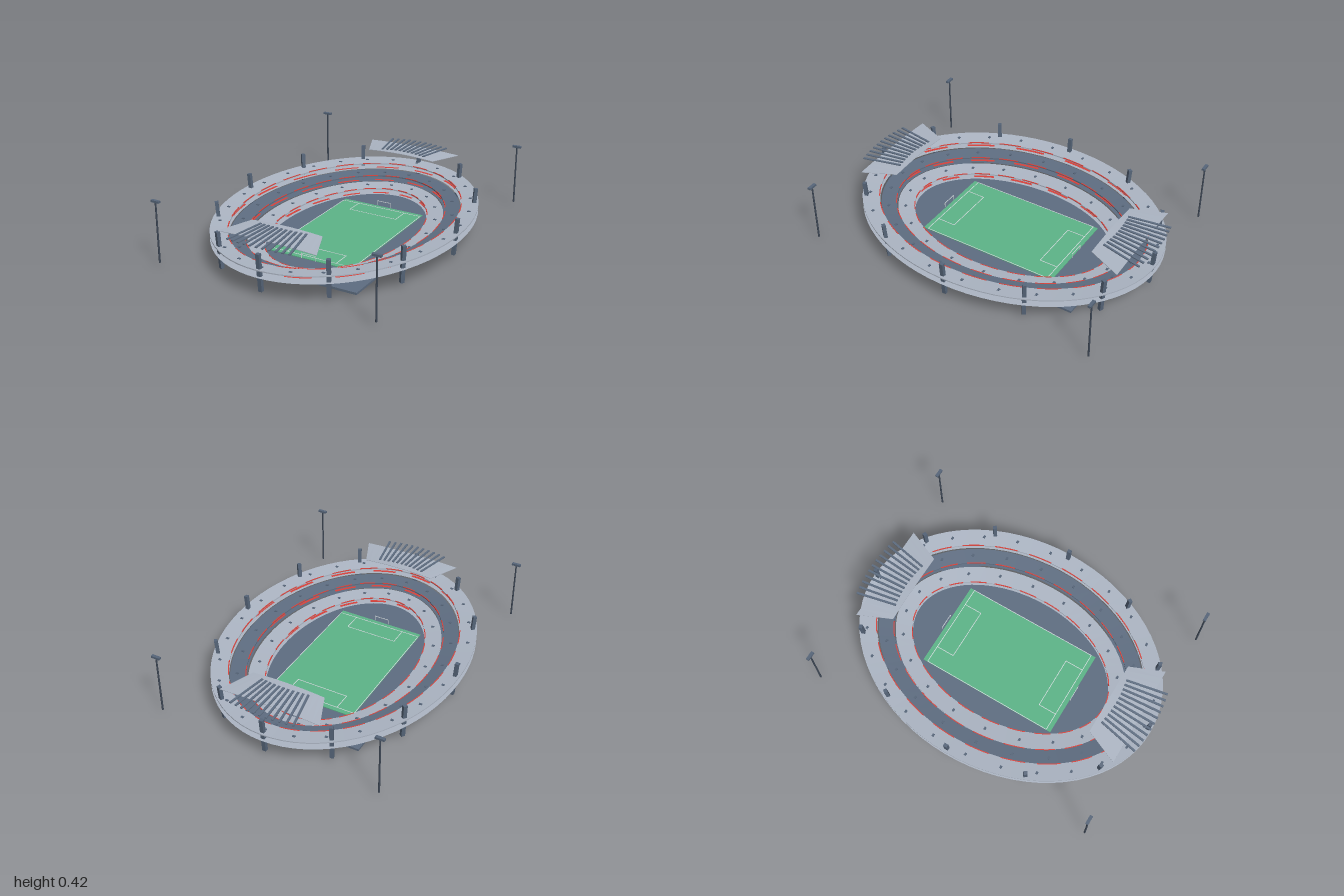
import * as THREE from 'three';

const mat = (name, color, side = THREE.FrontSide) => {
  const m = new THREE.MeshStandardMaterial({ color, side, flatShading: true });
  m.name = name;
  return m;
};

export function createModel() {
  const root = new THREE.Group();
  root.name = 'stadium';

  const concrete = mat('light concrete', 0xacb5c3, THREE.DoubleSide);
  const slate = mat('slate', 0x5e6d81, THREE.DoubleSide);
  const steel = mat('column steel', 0x566579);
  const dark = mat('dark metal', 0x3e4856);
  const grass = mat('grass', 0x5cb487);
  const line = mat('line paint', 0xd5dde0);
  const red = mat('red trim', 0xd8433c, THREE.DoubleSide);

  const add = (parent, geometry, material, name, x = 0, y = 0, z = 0) => {
    const m = new THREE.Mesh(geometry, material);
    m.name = name;
    m.position.set(x, y, z);
    parent.add(m);
    return m;
  };
  const box = (w, h, d) => new THREE.BoxGeometry(w, h, d);

  // Sweep an [outward, y] profile round an ellipse, skipping segments for dashes.
  // Two points give an open sheet, more points a closed section.
  function ellipseSweep(profile, rx, rz, segs, keep = () => true) {
    const pos = [];
    const at = ([d, y], i) => {
      const a = (i / segs) * Math.PI * 2;
      return [(rx + d) * Math.cos(a), y, (rz + d) * Math.sin(a)];
    };
    const sides = profile.length > 2 ? profile.length : 1;
    for (let i = 0; i < segs; i++) {
      if (!keep(i)) continue;
      for (let k = 0; k < sides; k++) {
        const p = profile[k], q = profile[(k + 1) % profile.length];
        pos.push(...at(p, i), ...at(q, i), ...at(p, i + 1));
        pos.push(...at(q, i), ...at(q, i + 1), ...at(p, i + 1));
      }
    }
    const g = new THREE.BufferGeometry();
    g.setAttribute('position', new THREE.Float32BufferAttribute(pos, 3));
    g.computeVertexNormals();
    return g;
  }

  // Ground slab and pitch
  add(root, box(0.9, 0.014, 1.38), slate, 'groundSlab', 0, 0.007, 0);
  add(root, box(0.57, 0.006, 0.925), grass, 'pitch', 0, 0.016, 0);

  // Pitch markings and goals, mirrored end to end
  const T = 0.004, LY = 0.0195;
  for (const s of [-1, 1]) {
    add(root, box(0.566, 0.002, T), line, 'goalLine', 0, LY, s * 0.433);
    add(root, box(T, 0.002, 0.866), line, 'touchLine', s * 0.2825, LY, 0);
    add(root, box(0.336, 0.002, T), line, 'penaltyBoxFront', 0, LY, s * 0.315);
    for (const t of [-1, 1]) {
      add(root, box(T, 0.002, 0.118), line, 'penaltyBoxSide', t * 0.168, LY, s * 0.374);
      add(root, box(0.003, 0.032, 0.003), line, 'goalPost', t * 0.048, 0.035, s * 0.468);
    }
    add(root, box(0.099, 0.003, 0.003), line, 'goalBar', 0, 0.05, s * 0.468);
  }

  // Three tiers: sloping seating over a flat concourse sheet, both with dashed red trim
  const decks = [
    { name: 'lowerDeck', rx: 0.43, rz: 0.67, w: 0.106, y: 0.055, base: 0.022, m: concrete, n: 20 },
    { name: 'middleDeck', rx: 0.547, rz: 0.781, w: 0.096, y: 0.105, base: 0.072, m: slate, n: 22 },
    { name: 'upperDeck', rx: 0.647, rz: 0.887, w: 0.108, y: 0.156, base: 0.125, m: concrete, n: 26 },
  ];
  for (const { name, rx, rz, w, y, base, m, n } of decks) {
    const deck = new THREE.Group();
    deck.name = name;
    root.add(deck);
    const seating = [[0, y], [w, y + 0.011], [w, y + 0.018], [0, y + 0.008]];
    add(deck, ellipseSweep(seating, rx, rz, 72), m, name + 'Seating');
    add(deck, ellipseSweep([[0, base], [w, base]], rx, rz, 72), m, name + 'Concourse');
    const seatTrim = [[-0.002, y + 0.005], [0.004, y + 0.005], [0.004, y + 0.0095], [-0.002, y + 0.0095]];
    add(deck, ellipseSweep(seatTrim, rx, rz, 144, (i) => i % 6 < 4), red, name + 'SeatingTrim');
    const band = [[0.018, base - 0.0006], [0.036, base - 0.0006], [0.036, base + 0.0006], [0.018, base + 0.0006]];
    add(deck, ellipseSweep(band, rx, rz, 144, (i) => i % 9 < 5), red, name + 'ConcourseBand');
    for (let i = 0; i < n; i++) {
      const a = ((i + 0.5) / n) * Math.PI * 2;
      add(deck, box(0.018, 0.01, 0.014), steel, 'entrance',
        (rx + w * 0.55) * Math.cos(a), y + 0.012, (rz + w * 0.55) * Math.sin(a));
    }
  }

  // Twelve columns leaning outward round the rim
  for (let i = 0; i < 12; i++) {
    const a = (i / 12) * Math.PI * 2;
    const x = 0.725 * Math.cos(a), z = 0.968 * Math.sin(a);
    const c = add(root, box(0.022, 0.235, 0.024), steel, 'rimColumn', x, 0.147, z);
    c.rotation.order = 'YXZ';
    c.rotation.y = -Math.atan2(z, x);
    c.rotation.z = -0.08;
  }

  // Arched canopy at each end, with a fan of ribs on top
  const roofY = (u, v) => 0.301 + 0.01 * (1 - 4 * u * u) - 0.008 * v;
  const panel = new THREE.BoxGeometry(1, 0.003, 1, 14, 1, 1);
  const p = panel.attributes.position;
  for (let i = 0; i < p.count; i++) {
    const u = p.getX(i), v = p.getZ(i);
    p.setXYZ(i, u * (0.56 + 0.18 * v), p.getY(i) + roofY(u, v), 0.795 + 0.21 * v);
  }
  panel.computeVertexNormals();
  for (const turn of [0, Math.PI]) {
    const roof = new THREE.Group();
    roof.name = 'canopy';
    roof.rotation.y = turn;
    root.add(roof);
    add(roof, panel, concrete, 'canopyPanel');
    for (let i = -5; i <= 5; i++) {
      const a = i * 0.041, r = 0.868;
      const rib = add(roof, box(0.013, 0.007, 0.26), slate, 'canopyRib',
        r * Math.sin(a), 0.314 - 0.0002 * i * i, r * Math.cos(a));
      rib.rotation.order = 'YXZ';
      rib.rotation.set(0.04, a, 0);
    }
  }

  // Floodlight masts at the four corners
  for (const sx of [-1, 1]) for (const sz of [-1, 1]) {
    const f = new THREE.Group();
    f.name = 'floodlight';
    f.position.set(sx * 0.715, 0, sz * 0.95);
    root.add(f);
    add(f, new THREE.CylinderGeometry(0.005, 0.006, 0.385, 8), dark, 'mast', 0, 0.222, 0);
    add(f, box(0.056, 0.013, 0.019), steel, 'lampHead', 0, 0.413, 0);
  }
  return root;
}
